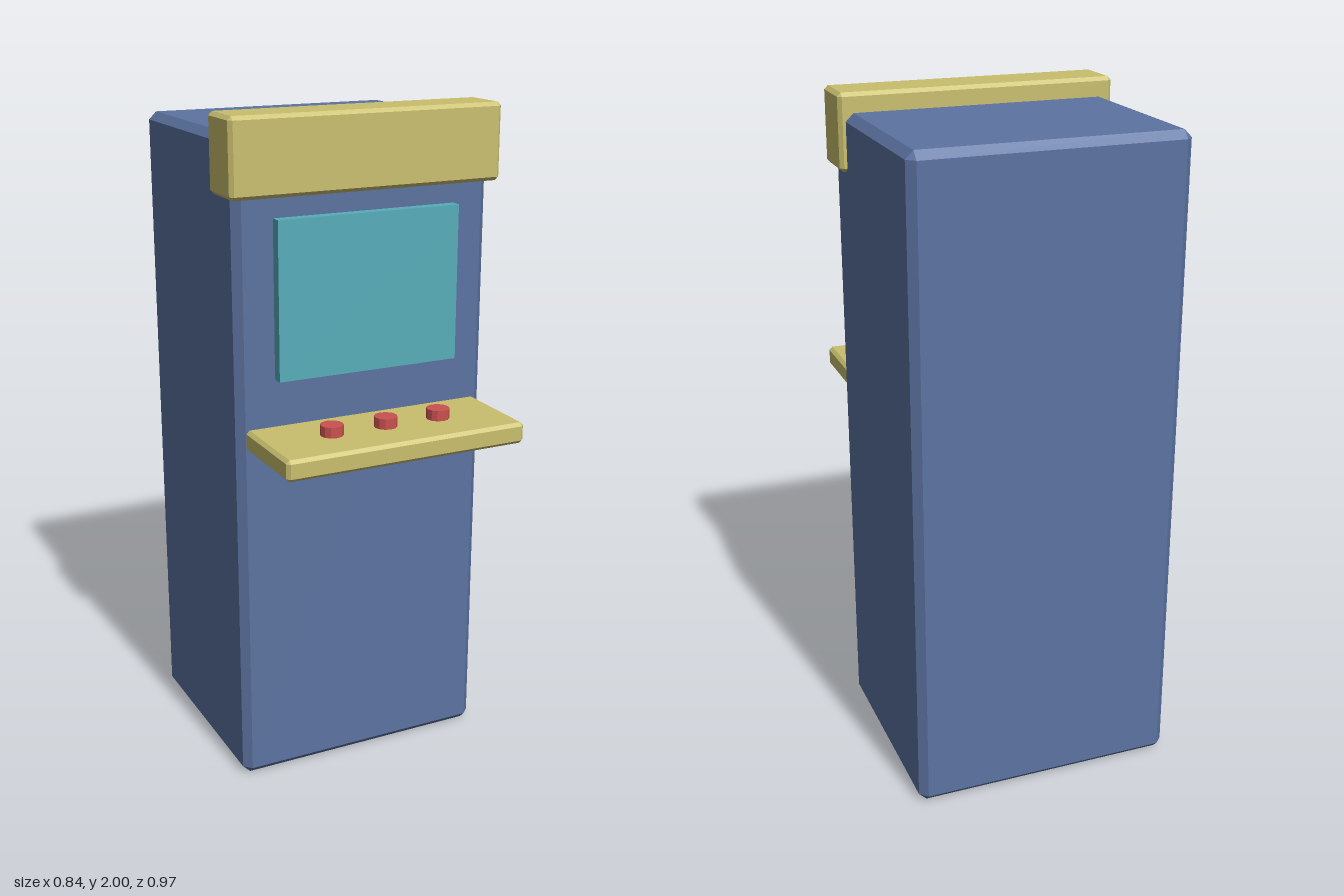
import * as THREE from 'three';
import { ConvexGeometry } from 'three/addons/geometries/ConvexGeometry.js';

const material = (name, color) => {
  const m = new THREE.MeshStandardMaterial({ color });
  m.name = name;
  return m;
};

// Box between two corners with flat chamfers of width b on every edge
function chamferBox([x0, y0, z0], [x1, y1, z1], b) {
  const h = [(x1 - x0) / 2, (y1 - y0) / 2, (z1 - z0) / 2];
  const points = [];
  for (const sx of [-1, 1]) for (const sy of [-1, 1]) for (const sz of [-1, 1]) {
    for (let axis = 0; axis < 3; axis++) {
      const p = h.map((v, i) => (i === axis ? v : v - b));
      points.push(new THREE.Vector3(sx * p[0], sy * p[1], sz * p[2]));
    }
  }
  return new ConvexGeometry(points).translate((x0 + x1) / 2, (y0 + y1) / 2, (z0 + z1) / 2);
}

export function createModel() {
  const group = new THREE.Group();
  group.name = 'arcadeCabinet';

  const blue = material('cabinetBlue', 0x5c73a1);
  const yellow = material('trimYellow', 0xc9bf6e);
  const teal = material('screenTeal', 0x57adb9);
  const red = material('buttonRed', 0xc9514f);

  const add = (name, geometry, mat) => {
    const mesh = new THREE.Mesh(geometry, mat);
    mesh.name = name;
    group.add(mesh);
    return mesh;
  };

  // Tall cabinet
  add('cabinet', chamferBox([-0.4, 0, -0.483], [0.4, 1.943, 0.2], 0.023), blue);

  // Overhanging marquee
  add('marquee', chamferBox([-0.42, 1.777, 0.076], [0.42, 2, 0.233], 0.011), yellow);

  // Control shelf, its back end sunk into the cabinet
  add('controlPanel', chamferBox([-0.375, 1.057, 0.1], [0.375, 1.12, 0.483], 0.01), yellow);

  // Screen block standing out from the front
  add('screen', new THREE.BoxGeometry(0.568, 0.458, 0.08).translate(0, 1.489, 0.193), teal);

  // Three push buttons
  const buttonGeometry = new THREE.CylinderGeometry(0.034, 0.034, 0.05, 12).toNonIndexed();
  buttonGeometry.computeVertexNormals();
  for (const x of [-0.171, 0, 0.171]) {
    add('button', buttonGeometry, red).position.set(x, 1.126, 0.334);
  }

  return group;
}
